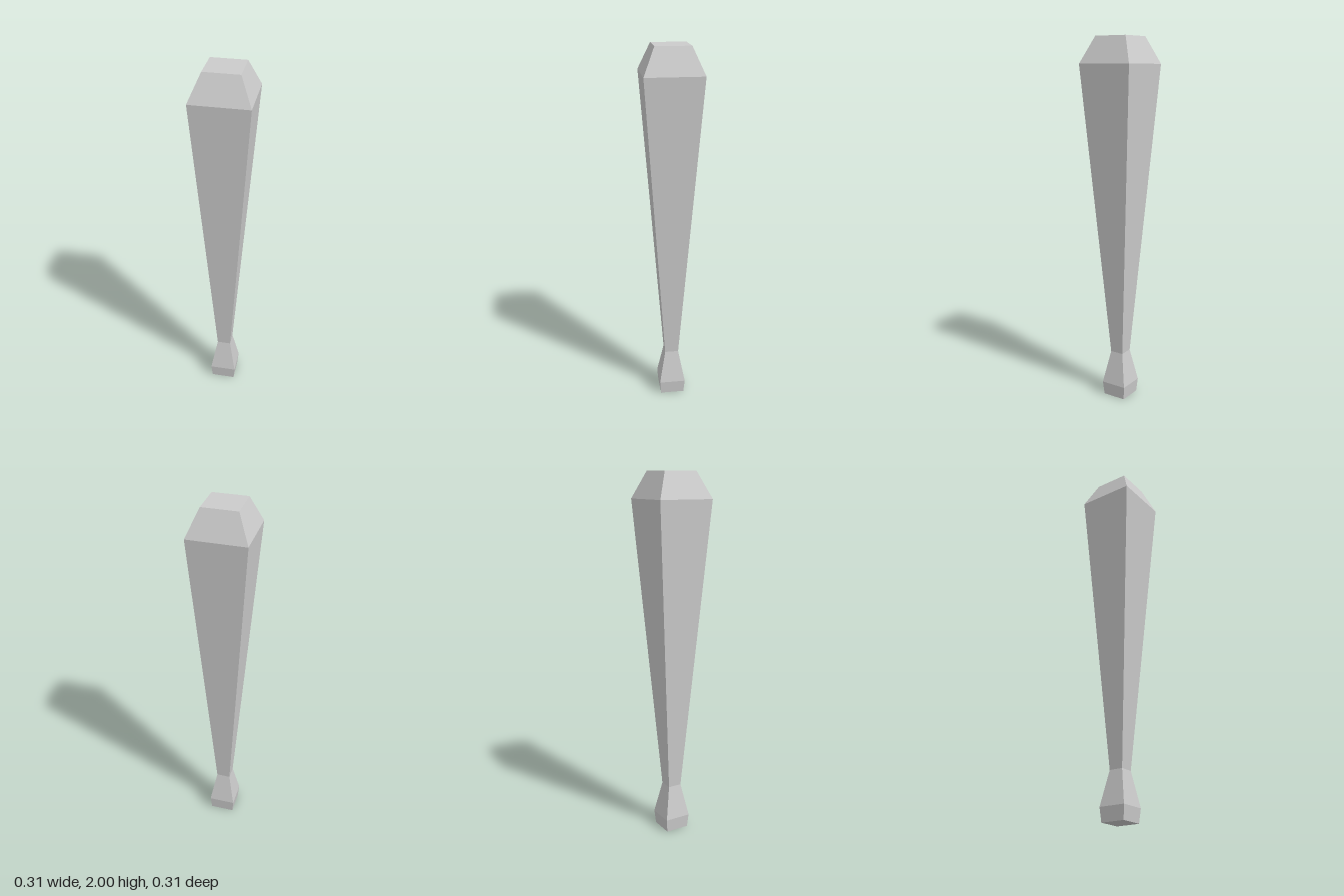
import * as THREE from 'three';

// Half-width and height of each square section, bottom to top
const PROFILE = [
  [0, 0],
  [0.066, 0],     // underside of the knob
  [0.073, 0.075], // widest point of the knob
  [0.038, 0.26],  // narrow grip
  [0.154, 1.86],  // widest point of the barrel
  [0.093, 2],     // flat top of the bevelled tip
  [0, 2],
];

export function createModel() {
  const group = new THREE.Group();
  group.name = 'club';

  // Four-sided lathe turned by 45 degrees so the flats face the axes
  const points = PROFILE.map(([half, y]) => new THREE.Vector2(half * Math.SQRT2, y));
  const geometry = new THREE.LatheGeometry(points, 4, Math.PI / 4).toNonIndexed();
  geometry.computeVertexNormals();

  const material = new THREE.MeshStandardMaterial({ color: 0xcccccc, flatShading: true });
  const body = new THREE.Mesh(geometry, material);
  body.name = 'clubBody';
  group.add(body);
  return group;
}
